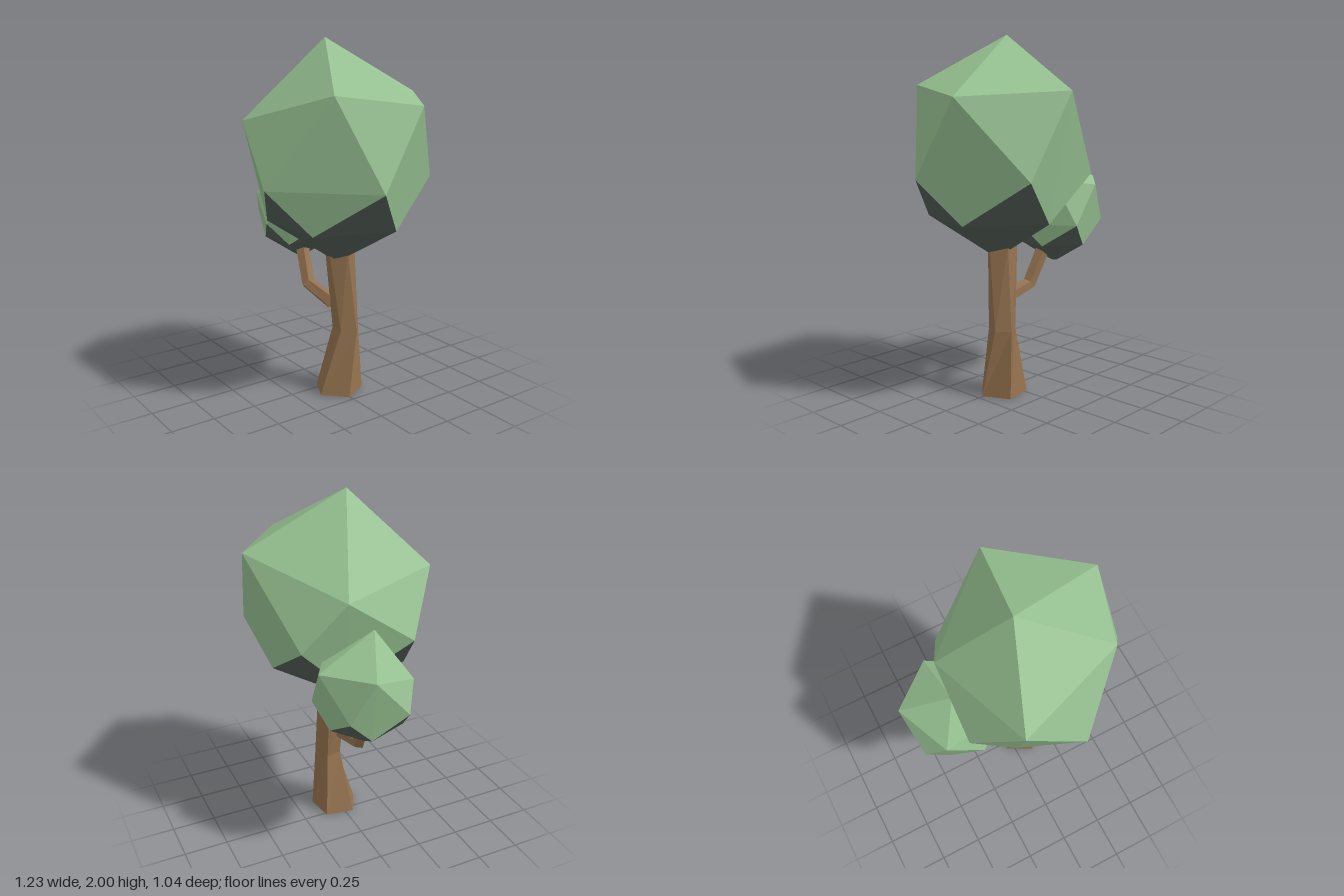
import * as THREE from 'three';
import { ConvexGeometry } from 'three/addons/geometries/ConvexGeometry.js';

const mat = (name, color) => new THREE.MeshStandardMaterial({ name, color, flatShading: true });
const V = (x, y, z) => new THREE.Vector3(x, y, z);
const SIDES = 5;

// Five points around a centre; the angle is in degrees from +x towards +z
function ring(r, y, startDeg) {
  return Array.from({ length: SIDES }, (_, i) => {
    const a = THREE.MathUtils.degToRad(startDeg + i * 72);
    return V(r * Math.cos(a), y, r * Math.sin(a));
  });
}

// Closed faceted skin through five-sided sections: { c: centre, r, turn, dir: axis }
function loft(sections) {
  const rings = sections.map(({ c, r, turn, dir }) => {
    const q = new THREE.Quaternion().setFromUnitVectors(V(0, 1, 0), V(...dir).normalize());
    return ring(r, 0, turn).map((p) => p.applyQuaternion(q).add(V(...c)));
  });
  const pts = [];
  for (let k = 0; k < rings.length - 1; k++) {
    for (let i = 0; i < SIDES; i++) {
      const j = (i + 1) % SIDES;
      const a = rings[k][i], b = rings[k][j], c = rings[k + 1][j], d = rings[k + 1][i];
      pts.push(a, d, b, b, d, c);
    }
  }
  const first = rings[0], last = rings[rings.length - 1];
  for (let i = 1; i < SIDES - 1; i++) {
    pts.push(first[0], first[i], first[i + 1], last[0], last[i + 1], last[i]);
  }
  return facets(pts);
}

function facets(points) {
  const g = new THREE.BufferGeometry().setFromPoints(points);
  g.computeVertexNormals();
  return g;
}

// Uneven crown around its widest ring, split into leafy faces and shaded underside faces
function crownGeometries() {
  const hull = new ConvexGeometry([
    V(-0.095, 0.75, 0.015),
    V(0.003, 0.45, -0.528), V(0.487, 0.42, -0.178), V(0.335, 0.48, 0.264),
    V(-0.25, 0.32, 0.442), V(-0.457, 0.27, -0.145),
    ...ring(0.52, 0, 9),
    ...ring(0.387, -0.24, 55),
    ...ring(0.04, -0.45, 55),
  ]);
  const pos = hull.getAttribute('position');
  const upper = [], under = [];
  for (let i = 0; i < pos.count; i += 3) {
    const tri = [0, 1, 2].map((k) => new THREE.Vector3().fromBufferAttribute(pos, i + k));
    const high = tri.filter((p) => p.y > -0.05).length;
    (high >= 2 ? upper : under).push(...tri);
  }
  return [facets(upper), facets(under)];
}

export function createModel() {
  const leaf = mat('leafGreen', 0x96c191);
  const shade = mat('undersideGreen', 0x535e57);
  const bark = mat('barkBrown', 0x94724f);
  const tree = new THREE.Group();
  tree.name = 'tree';

  const add = (parent, name, geometry, material) => {
    const mesh = new THREE.Mesh(geometry, material);
    mesh.name = name;
    parent.add(mesh);
  };

  // Twisted trunk, pinched in the middle
  const up = [0, 1, 0];
  add(tree, 'trunk', loft([
    { c: [0.08, 0, -0.018], r: 0.14, turn: 9, dir: up },
    { c: [0.112, 0.38, -0.05], r: 0.078, turn: -12, dir: up },
    { c: [0.085, 0.86, -0.018], r: 0.088, turn: 4, dir: up },
  ]), bark);

  // Bent side branch
  add(tree, 'branch', loft([
    { c: [0.05, 0.53, 0.01], r: 0.042, turn: 20, dir: [-1, 0.2, 0] },
    { c: [-0.178, 0.58, 0.015], r: 0.04, turn: 20, dir: [-0.75, 0.65, 0] },
    { c: [-0.285, 0.8, -0.01], r: 0.042, turn: 20, dir: [-0.4, 0.9, -0.1] },
  ]), bark);

  // Large crown and its smaller, turned copy on the branch
  const [upper, under] = crownGeometries();
  const crowns = [
    ['mainCrown', [0.097, 1.25, 0.005], 1, 0],
    ['sideCrown', [-0.344, 0.95, -0.04], 0.535, 75.7],
  ];
  for (const [name, position, scale, turn] of crowns) {
    const crown = new THREE.Group();
    crown.name = name;
    add(crown, name + 'Leaves', upper, leaf);
    add(crown, name + 'Underside', under, shade);
    crown.position.set(...position);
    crown.scale.setScalar(scale);
    crown.rotation.y = THREE.MathUtils.degToRad(turn);
    tree.add(crown);
  }
  return tree;
}
